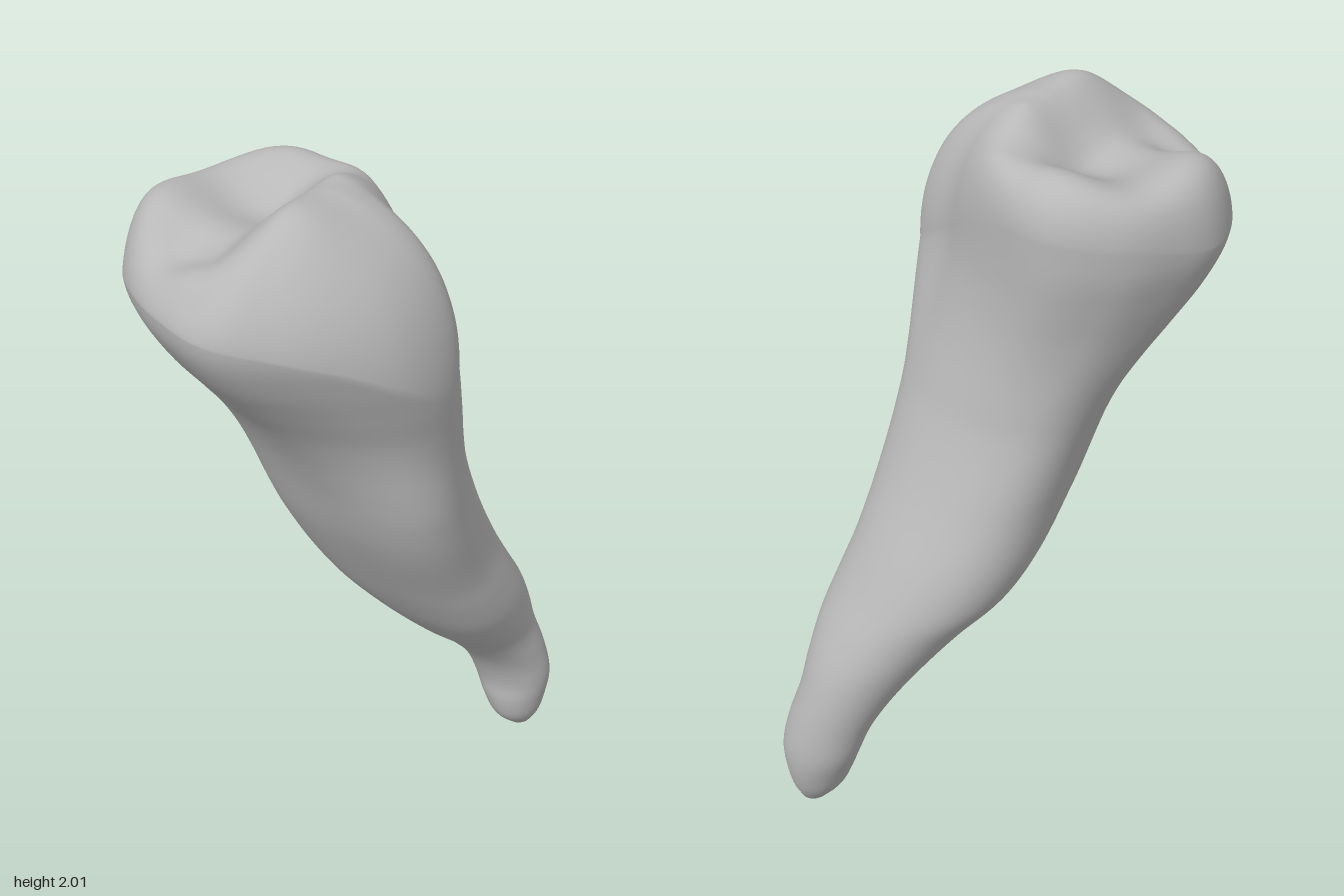
import * as THREE from 'three';

const SEG = 96, BODY_RINGS = 90, CAP_RINGS = 40;

// Root and crown sections: height, then x min, x max, z min, z max
const SECTIONS = [
  [0.015, 0.325, 0.395, -0.535, -0.455],
  [0.06, 0.285, 0.42, -0.56, -0.41],
  [0.13, 0.25, 0.437, -0.58, -0.387],
  [0.2, 0.22, 0.445, -0.587, -0.383],
  [0.3, 0.187, 0.432, -0.577, -0.345],
  [0.4, 0.14, 0.415, -0.557, -0.265],
  [0.5, 0.08, 0.42, -0.53, -0.16],
  [0.6, 0.01, 0.425, -0.487, -0.07],
  [0.7, -0.07, 0.415, -0.435, 0.0],
  [0.8, -0.115, 0.4, -0.385, 0.06],
  [1.0, -0.16, 0.395, -0.28, 0.17],
  [1.2, -0.205, 0.395, -0.2, 0.255],
  [1.3, -0.242, 0.4, -0.178, 0.305],
  [1.4, -0.292, 0.41, -0.16, 0.368],
  [1.5, -0.347, 0.418, -0.15, 0.447],
  [1.6, -0.4, 0.42, -0.15, 0.527],
  [1.7, -0.438, 0.42, -0.155, 0.582],
  [1.8, -0.447, 0.418, -0.158, 0.594],
];

// Relative radii of the outlines, spread evenly from +x towards +z
const CROWN = [1, 0.98, 0.92, 0.93, 1, 0.94, 0.92, 0.96, 1, 1, 1.05, 1.07, 0.93, 0.85, 0.83, 0.98];
// The same for the root, each row after its height
const ROOT = [
  [0.25, 1, 1, 1, 1, 1, 1, 1, 1],
  [0.7, 1, 1.18, 1, 1.04, 1, 1, 1, 1],
  [1.1, 1, 1.24, 1, 1.05, 1, 1.1, 1, 0.97],
  [1.4, 1, 1.12, 1, 1, 1, 1.1, 0.98, 0.92],
];

// Crown shoulder every 45 degrees: rim height, then the two powers of its rounding
const RIM = [1.52, 1.67, 1.74, 1.74, 1.72, 1.78, 1.79, 1.63];
const FLATNESS = [3, 2.8, 2.6, 4.5, 14, 13, 12, 4];
const ROUNDNESS = [2, 1.8, 1.6, 1.6, 1.5, 1.8, 2, 2];

// Chewing surface bumps and hollows: x, z, x spread, z spread, height
const BUMPS = [
  [-0.34, 0.25, 0.11, 0.16, 0.04],
  [-0.15, -0.06, 0.18, 0.11, 0.06],
  [-0.12, 0.14, 0.12, 0.1, -0.03],
  [-0.2, 0.39, 0.1, 0.08, -0.04],
  [-0.09, 0.5, 0.09, 0.07, 0.03],
  [0.11, 0.14, 0.12, 0.12, 0.02],
  [0.1, 0.36, 0.12, 0.12, 0.045],
];

const { lerp, smoothstep } = THREE.MathUtils;

// Plain with a high cusp at +x that drops towards the back, plus the bumps
const chewingHeight = (x, z) => BUMPS.reduce((h, [bx, bz, sx, sz, a]) =>
  h + a * Math.exp(-(((x - bx) / sx) ** 2) - ((z - bz) / sz) ** 2),
1.885 + 0.1 * smoothstep(x, -0.1, 0.08) * lerp(0.5, 1, smoothstep(z, -0.04, 0.12)));

// Smooth periodic lookup of a table spread round the full circle
function around(table, angle) {
  const n = table.length, f = (angle / (2 * Math.PI)) * n, i = Math.floor(f), t = f - i;
  const [a, b, c, d] = [-1, 0, 1, 2].map((k) => table[(i + k + n) % n]);
  return b + 0.5 * t * (c - a + t * (2 * a - 5 * b + 4 * c - d + t * (3 * (b - c) + d - a)));
}

// Smooth lookup by height of rows that start with their height
function byHeight(rows) {
  const size = rows[0].length - 1;
  const curve = new THREE.CubicInterpolant(
    rows.map((r) => r[0]), rows.flatMap((r) => r.slice(1)), size);
  return (y) => curve.evaluate(y);
}

function toothGeometry() {
  const section = byHeight(SECTIONS), rootOutline = byHeight(ROOT);
  const positions = [], index = [];

  // One point of the wall at a given height and angle
  const wallPoint = (y, a) => {
    const [x0, x1, z0, z1] = section(y);
    const r = lerp(around(rootOutline(y), a), around(CROWN, a), smoothstep(y, 1.1, 1.65));
    return [(x0 + x1) / 2 + (r * Math.cos(a) * (x1 - x0)) / 2, y,
      (z0 + z1) / 2 + (r * Math.sin(a) * (z1 - z0)) / 2];
  };
  const angle = (j) => (j / SEG) * 2 * Math.PI;

  // Root tip
  positions.push(0.36, 0, -0.497);

  // Root and crown walls, up to the rim
  const y0 = SECTIONS[0][0];
  for (let i = 0; i <= BODY_RINGS; i++) {
    for (let j = 0; j < SEG; j++) {
      const a = angle(j);
      positions.push(...wallPoint(y0 + (around(RIM, a) - y0) * (i / BODY_RINGS) ** 1.15, a));
    }
  }

  // Crown top: rings shrinking from the rim over a rounded shoulder
  const cx = -0.02, cz = 0.215;
  for (let i = 1; i < CAP_RINGS; i++) {
    const s = 1 - (i / CAP_RINGS) ** 2;
    for (let j = 0; j < SEG; j++) {
      const a = angle(j), [wx, rim, wz] = wallPoint(around(RIM, a), a);
      const x = lerp(cx, wx, s), z = lerp(cz, wz, s);
      const rise = (1 - s ** around(FLATNESS, a)) ** (1 / around(ROUNDNESS, a));
      positions.push(x, lerp(rim, chewingHeight(x, z), rise), z);
    }
  }
  positions.push(cx, chewingHeight(cx, cz), cz);

  // Faces between rings, then the two closing fans
  const rings = BODY_RINGS + CAP_RINGS, last = 1 + rings * SEG;
  for (let j = 0; j < SEG; j++) {
    const k = (j + 1) % SEG;
    index.push(0, 1 + j, 1 + k);
    for (let i = 0; i < rings - 1; i++) {
      const a = 1 + i * SEG + j, b = 1 + i * SEG + k;
      index.push(a, a + SEG, b, b, a + SEG, b + SEG);
    }
    index.push(last - SEG + j, last, last - SEG + k);
  }

  const geometry = new THREE.BufferGeometry();
  geometry.setAttribute('position', new THREE.Float32BufferAttribute(positions, 3));
  geometry.setIndex(index);
  geometry.computeVertexNormals();
  return geometry;
}

export function createModel() {
  const enamel = new THREE.MeshStandardMaterial({ color: 0xb8b8b8 });
  enamel.name = 'grey enamel';
  const tooth = new THREE.Mesh(toothGeometry(), enamel);
  tooth.name = 'tooth';
  const model = new THREE.Group();
  model.name = 'single rooted tooth';
  model.add(tooth);
  return model;
}
